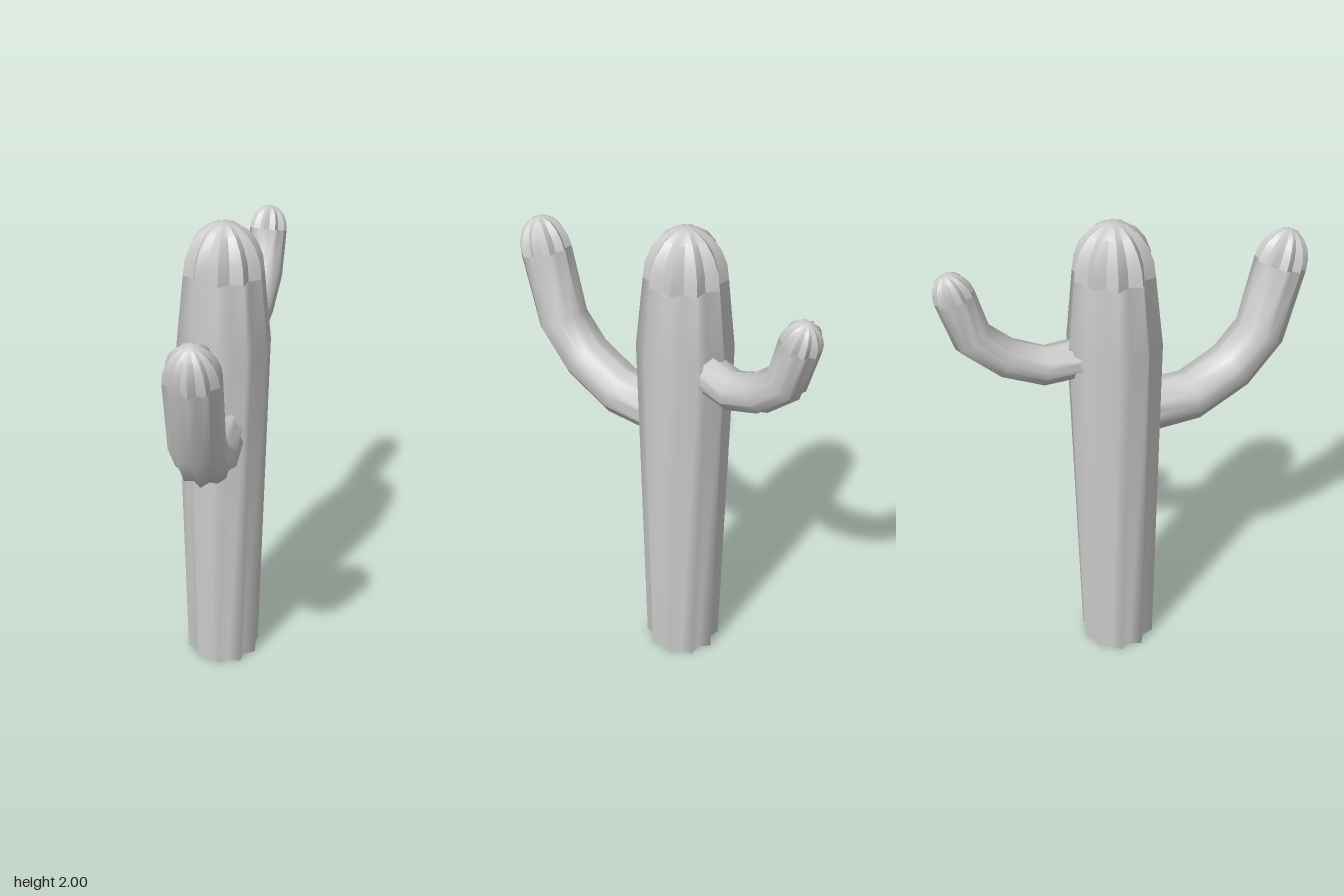
import * as THREE from 'three';
import { toCreasedNormals } from 'three/addons/utils/BufferGeometryUtils.js';

const RIBS = 10, N = RIBS * 2, VALLEY = 0.82;
const V = (x, y, z) => new THREE.Vector3(x, y, z);
const material = new THREE.MeshStandardMaterial({ color: 0xcccccc });

// Star-shaped ring around centre c, facing along t, with s as its sideways axis
function starRing(c, t, s, r) {
  const n = s.clone().cross(t).normalize();
  return Array.from({ length: N }, (_, j) => {
    const a = (j / N) * Math.PI * 2, q = j % 2 ? r * VALLEY : r;
    return c.clone().addScaledVector(n, q * Math.cos(a)).addScaledVector(s, q * Math.sin(a));
  });
}

// Skin over successive rings, optionally closed by a pole at the end
function loft(rings, pole) {
  const points = rings.flat(), index = [];
  for (let i = 0; i < rings.length - 1; i++) {
    for (let j = 0; j < N; j++) {
      const k = (j + 1) % N, a = i * N + j, b = i * N + k;
      index.push(a, b, b + N, a, b + N, a + N);
    }
  }
  if (pole) {
    const last = (rings.length - 1) * N;
    points.push(pole);
    for (let j = 0; j < N; j++) index.push(last + j, last + ((j + 1) % N), points.length - 1);
  }
  const g = new THREE.BufferGeometry().setFromPoints(points);
  g.setIndex(index);
  g.computeVertexNormals();
  return g;
}

function addMesh(group, name, geometry) {
  const mesh = new THREE.Mesh(geometry, material);
  mesh.name = name;
  group.add(mesh);
}

// Ribbed stem along a path, finished with a sharp-ribbed dome
function ribbedStem(name, path, radii, side, domeHeight) {
  const group = new THREE.Group();
  group.name = name;
  const end = path.length - 1;
  const dir = (i) => path[i + 1].clone().sub(path[i]).normalize();
  const tangents = path.map((_, i) =>
    i === 0 ? dir(0) : i === end ? dir(end - 1) : dir(i - 1).add(dir(i)).normalize());
  const rings = path.map((p, i) => starRing(p, tangents[i], side, radii[i]));
  addMesh(group, name + 'Body', loft(rings));

  const t = tangents[end], dome = [];
  for (let i = 0; i < 5; i++) {
    const a = (i / 5) * Math.PI / 2;
    const c = path[end].clone().addScaledVector(t, domeHeight * Math.sin(a));
    dome.push(starRing(c, t, side, radii[end] * Math.cos(a)));
  }
  const pole = path[end].clone().addScaledVector(t, domeHeight);
  addMesh(group, name + 'Dome', toCreasedNormals(loft(dome, pole), 0.6));
  return group;
}

export function createModel() {
  const model = new THREE.Group();
  model.name = 'cactus';
  const X = V(1, 0, 0), cz = -0.083;

  // Trunk, widest at three quarters of its height
  const trunk = ribbedStem('trunk', [V(0, 0, cz), V(0, 1.5, cz), V(0, 1.79, cz)],
    [0.16, 0.192, 0.162], X, 0.21);
  // Flat underside
  const foot = starRing(V(0, 0, cz), V(0, 1, 0), X, 0.16).reverse();
  addMesh(trunk, 'trunkBase', loft([foot], V(0, 0, cz)));
  model.add(trunk);

  // Front arm: [z, y] of its centre line
  const front = [[0.03, 1.16], [0.255, 1.16], [0.445, 1.25], [0.573, 1.387], [0.652, 1.678]];
  model.add(ribbedStem('frontArm', front.map(([z, y]) => V(0, y, z)),
    front.map(() => 0.107), X, 0.146));

  // Back arm: thinner, swung slightly towards +x
  const slope = 0.165;
  const back = [[-0.15, 1.45], [-0.36, 1.43], [-0.5, 1.488], [-0.625, 1.597], [-0.678, 1.773]];
  model.add(ribbedStem('backArm', back.map(([z, y]) => V((-z - 0.05) * slope, y, z)),
    back.map(() => 0.079), V(1, 0, slope).normalize(), 0.1));

  return model;
}
